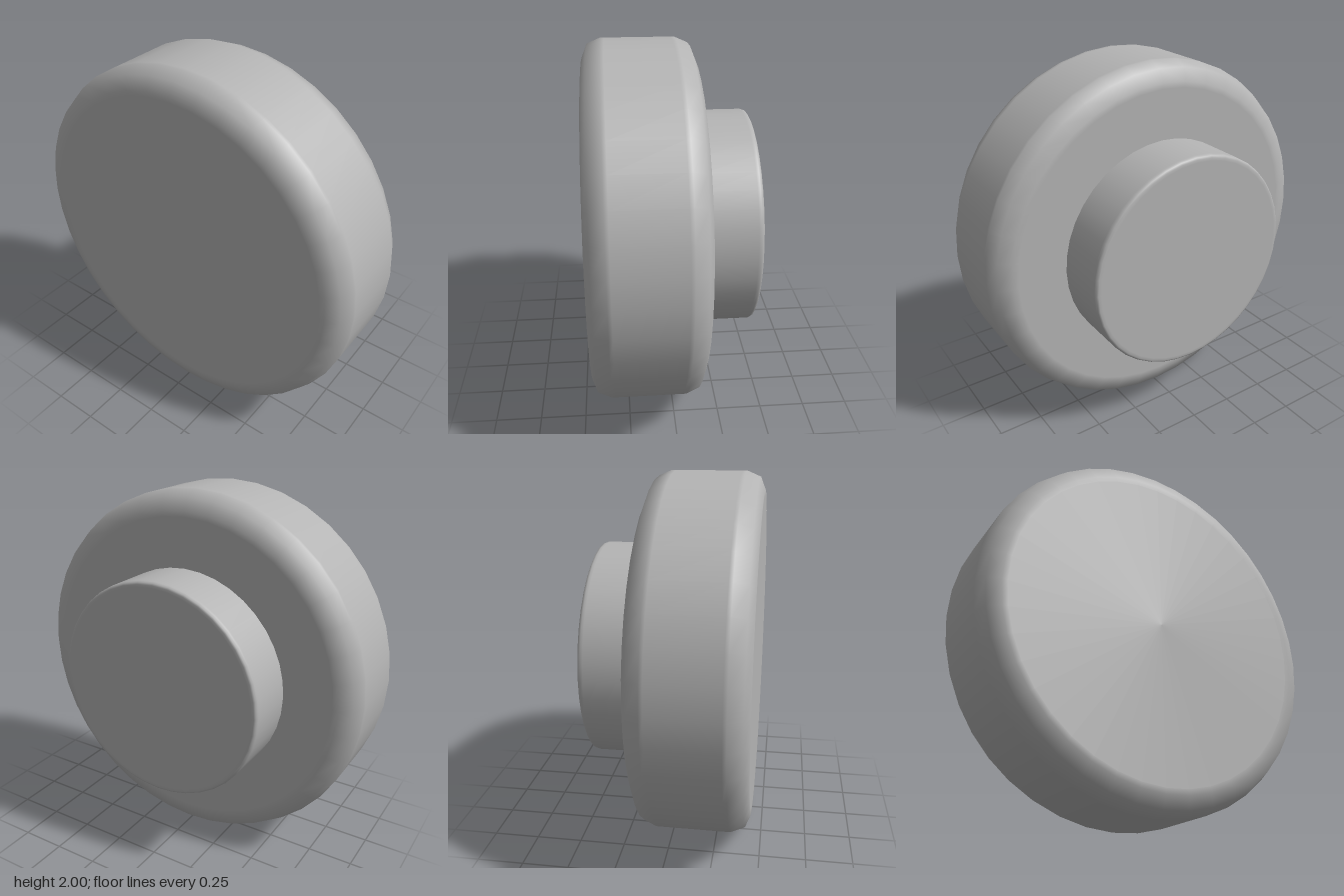
import * as THREE from 'three';

const grey = new THREE.MeshStandardMaterial({ color: 0xb4b4b4 });
grey.name = 'plain grey';

// Turned part: profile of [radius, z] from back to front, spun round the z axis
function turned(name, profile) {
  const points = profile.map(([r, z]) => new THREE.Vector2(r, z));
  const geometry = new THREE.LatheGeometry(points, 40);
  geometry.rotateX(Math.PI / 2);
  const mesh = new THREE.Mesh(geometry, grey);
  mesh.name = name;
  mesh.position.y = 1;
  return mesh;
}

export function createModel() {
  const group = new THREE.Group();
  group.name = 'roundKnob';

  // Wide disc with softly bevelled rims
  group.add(turned('disc', [
    [0, -0.148], [0.87, -0.148], [0.9, -0.148], [0.97, -0.12],
    [1, -0.05], [1, -0.03], [1, 0.325], [1, 0.345],
    [0.97, 0.417], [0.9, 0.445], [0.87, 0.445], [0, 0.445],
  ]));

  // Smaller hub on the back with a fine rounded edge
  group.add(turned('hub', [
    [0, -0.445], [0.57, -0.445], [0.585, -0.445], [0.595, -0.44],
    [0.6, -0.428], [0.6, -0.415], [0.6, -0.14],
  ]));

  return group;
}
